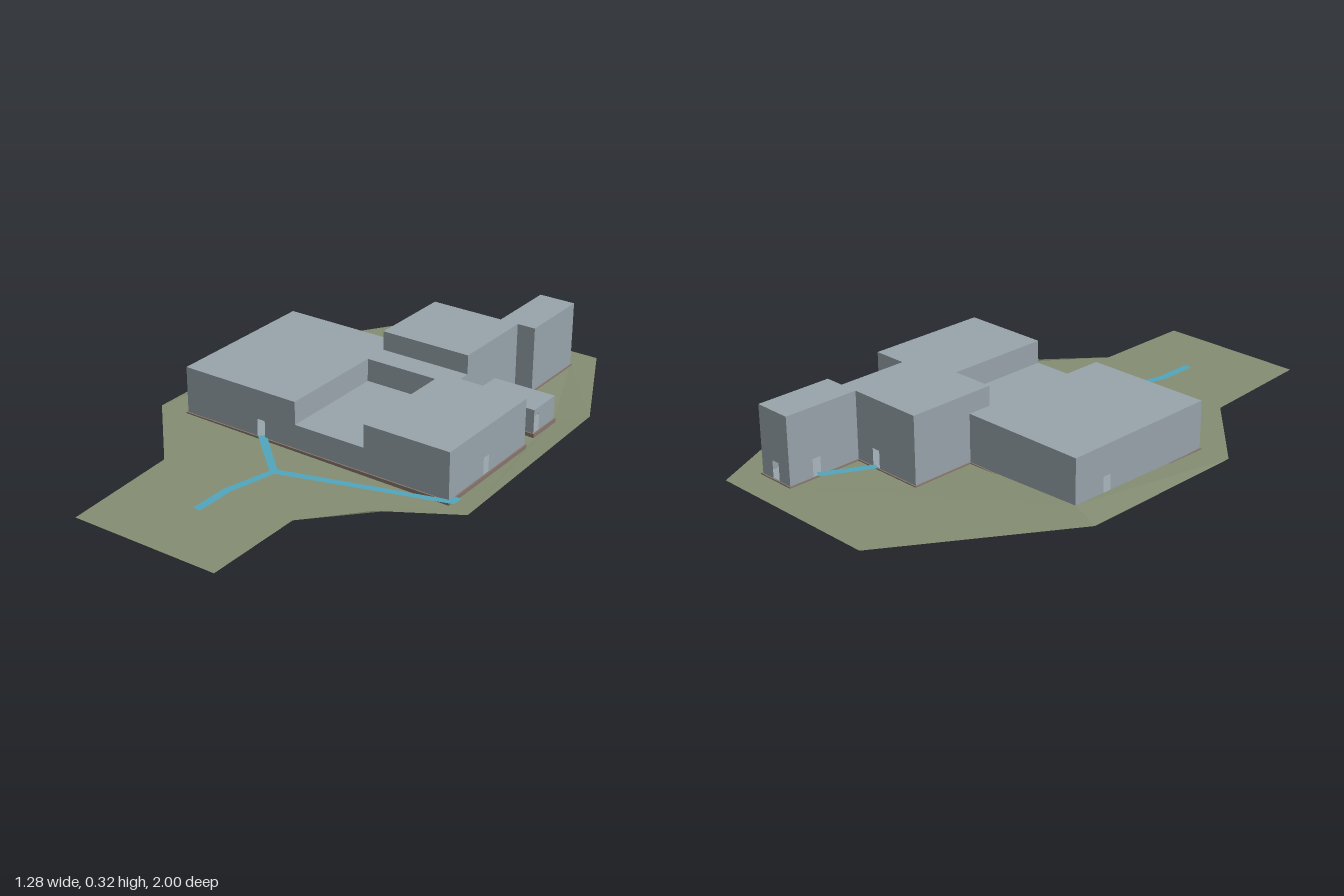
import * as THREE from 'three';

const mat = (name, color) => {
  const m = new THREE.MeshStandardMaterial({ color, side: THREE.DoubleSide });
  m.name = name;
  return m;
};

// Plans are lists of [x, z] corners, front edge first, running towards +x
const toShape = (pts) => new THREE.Shape(pts.map(([x, z]) => new THREE.Vector2(x, -z)));

// Offsets a right-angled plan outwards by d
function expand(pts, d) {
  const n = pts.length;
  return pts.map(([x, z], i) => {
    const p = pts[(i + n - 1) % n], q = pts[(i + 1) % n];
    const ax = Math.sign(x - p[0]), az = Math.sign(z - p[1]);
    const bx = Math.sign(q[0] - x), bz = Math.sign(q[1] - z);
    return [x - d * (az + bz), z + d * (ax + bx)];
  });
}

export function createModel() {
  const model = new THREE.Group();
  const wallMat = mat('blue grey wall', 0x98a4ab);
  const grassMat = mat('olive ground', 0x848d72);
  const waterMat = mat('blue path', 0x52a5bd);
  const baseMat = mat('brown plinth', 0x86756c);

  const add = (parent, name, geo, m) => {
    const mesh = new THREE.Mesh(geo, m);
    mesh.name = name;
    parent.add(mesh);
    return mesh;
  };
  const plate = (parent, name, pts, y, m) => {
    const geo = new THREE.ShapeGeometry(toShape(pts)).rotateX(-Math.PI / 2).translate(0, y, 0);
    return add(parent, name, geo, m);
  };

  // Hollow block: roof, floors and walls; doors are [edge index, distance along edge]
  const block = (name, pts, y0, y1, doors = []) => {
    const g = new THREE.Group();
    g.name = name;
    model.add(g);
    plate(g, 'roof', pts, y1, wallMat);
    plate(g, 'floor', pts, 0.071, wallMat);
    plate(g, 'underside', pts, y0, wallMat);
    pts.forEach(([x, z], i) => {
      const [qx, qz] = pts[(i + 1) % pts.length];
      const dx = qx - x, dz = qz - z, len = Math.hypot(dx, dz);
      const rect = (a, b, c, d) => [[a, b], [c, b], [c, d], [a, d]].map((v) => new THREE.Vector2(...v));
      const s = new THREE.Shape(rect(0, y0, len, y1));
      for (const [edge, at] of doors) {
        if (edge === i) s.holes.push(new THREE.Path(rect(at - 0.016, 0.073, at + 0.016, 0.136)));
      }
      const wall = add(g, 'wall', new THREE.ShapeGeometry(s), wallMat);
      wall.position.set(x, 0, z);
      wall.rotation.y = Math.atan2(-dz, dx);
    });
  };
  const rectPlan = (x0, x1, z0, z1) => [[x0, z1], [x1, z1], [x1, z0], [x0, z0]];

  // Buildings
  block('mainHall', [
    [-0.53, 0.24], [-0.06, 0.24], [-0.06, -0.18], [0.22, -0.18], [0.22, 0.24], [0.55, 0.24],
    [0.55, -0.23], [0.29, -0.23], [0.29, -0.275], [-0.06, -0.275], [-0.06, -0.365], [-0.53, -0.365],
  ], 0.058, 0.245, [[0, 0.325], [5, 0.223], [11, 0.145]]);
  block('lowForecourt', rectPlan(-0.06, 0.22, -0.18, 0.24), 0.058, 0.16);
  block('rearHall', rectPlan(-0.06, 0.29, -0.605, -0.275), 0, 0.316, [[2, 0.16]]);
  block('rearTower', rectPlan(0.22, 0.36, -0.888, -0.605), 0, 0.316, [[2, 0.07], [3, 0.11]]);
  block('sideAnnex', rectPlan(0.29, 0.532, -0.46, -0.32), 0.058, 0.16, [[1, 0.019]]);

  // Plinth around the whole footprint
  const footprint = [
    [-0.53, 0.24], [0.55, 0.24], [0.55, -0.23], [0.29, -0.23], [0.29, -0.32], [0.532, -0.32],
    [0.532, -0.46], [0.29, -0.46], [0.29, -0.605], [0.36, -0.605], [0.36, -0.888], [0.22, -0.888],
    [0.22, -0.605], [-0.06, -0.605], [-0.06, -0.365], [-0.53, -0.365],
  ];
  const ring = toShape(expand(footprint, 0.005));
  ring.holes.push(toShape(footprint));
  add(model, 'plinth', new THREE.ExtrudeGeometry(ring, { depth: 0.016, bevelEnabled: false })
    .rotateX(-Math.PI / 2).translate(0, 0.056, 0), baseMat);

  // Ground sheet, cut out under the buildings, sinking slightly on the +x side
  const land = toShape([
    [-0.34, 1], [0.22, 1], [0.22, 0.62], [0.39, 0.425], [0.64, 0.27], [0.62, -0.56],
    [0.41, -1], [-0.25, -1], [-0.645, -0.4], [-0.645, 0.25], [-0.37, 0.55],
  ]);
  land.holes.push(toShape(footprint));
  let ground = new THREE.ShapeGeometry(land).rotateX(-Math.PI / 2);
  const p = ground.attributes.position;
  for (let i = 0; i < p.count; i++) {
    const x = p.getX(i), z = p.getZ(i);
    let y = 0.068;
    if (x > 0.5) y = x > 0.6 ? 0.064 : 0.057;
    if (x < -0.5 && x > -0.6 && z < -0.3) y = 0.083;
    p.setY(i, y);
  }
  ground = ground.toNonIndexed();
  ground.computeVertexNormals();
  add(model, 'ground', ground, grassMat);

  // Blue paths: flat mitred ribbons along short polylines
  const path = (pts, w = 0.015) => {
    const side = (s) => pts.map(([x, z], i) => {
      const a = pts[Math.max(i - 1, 0)], b = pts[Math.min(i + 1, pts.length - 1)];
      const u = new THREE.Vector2(x - a[0], z - a[1]).normalize();
      const v = new THREE.Vector2(b[0] - x, b[1] - z).normalize();
      const t = u.add(v).normalize();
      return [x - s * w * t.y, z + s * w * t.x];
    });
    plate(model, 'bluePath', [...side(1), ...side(-1).reverse()], 0.075, waterMat);
  };
  path([[-0.06, 0.75], [-0.06, 0.6], [-0.015, 0.415], [-0.205, 0.235]]);
  path([[-0.02, 0.415], [0.565, 0.245], [0.565, 0.21]]);
  path([[0.13, -0.605], [0.222, -0.775]]);
  path([[0.295, -0.455], [0.36, -0.465]], 0.01);

  return model;
}
